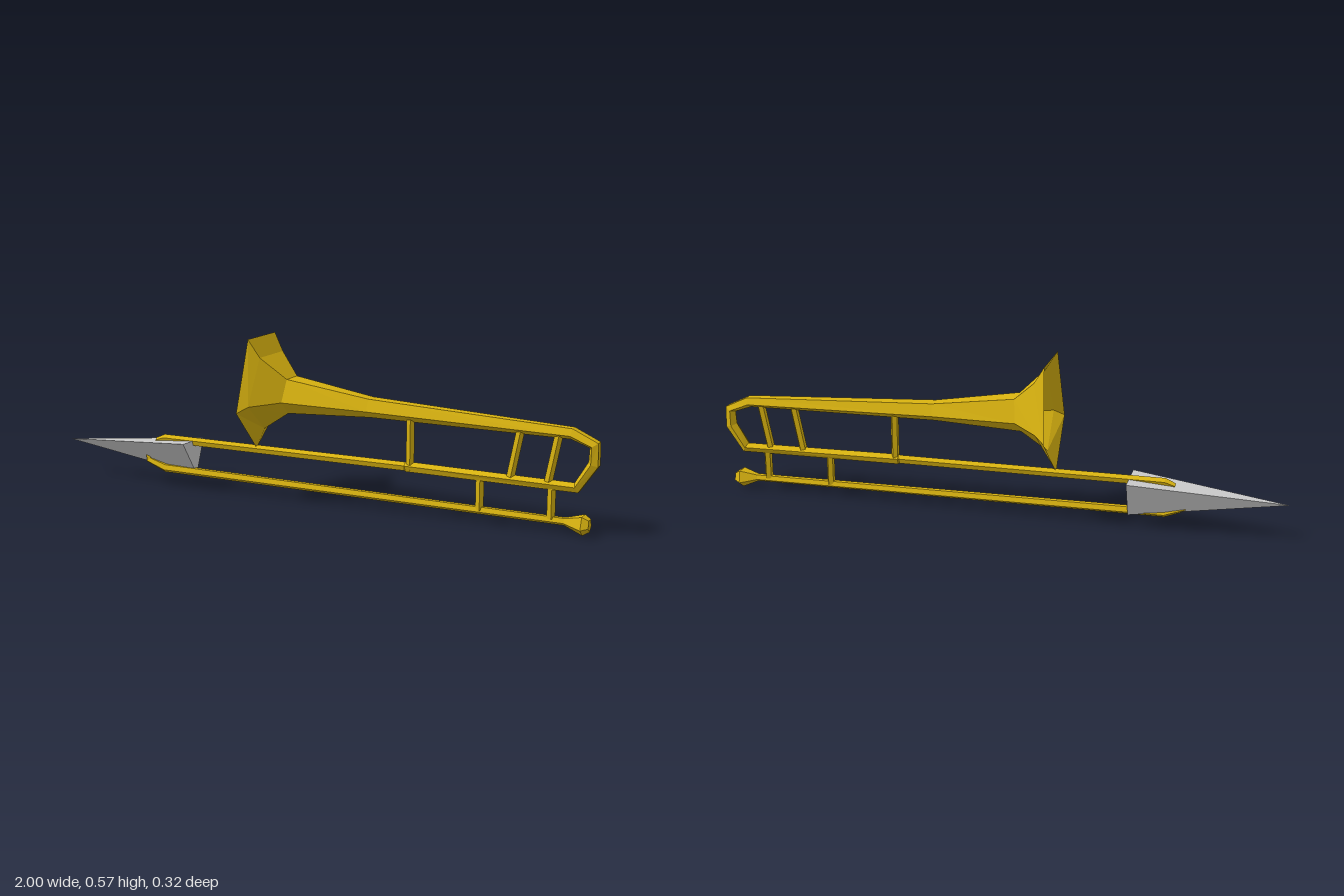
import * as THREE from 'three';

const brass = new THREE.MeshStandardMaterial({ color: 0xd9b310, flatShading: true, side: THREE.DoubleSide });
const grey = new THREE.MeshStandardMaterial({ color: 0xcccccc, flatShading: true, side: THREE.DoubleSide });
const SIDES = 5;

// Sweeps a five-sided section along stations [x, y, radius in plane, radius in z].
function loft(name, stations, capStart = true, capEnd = true) {
  const centres = stations.map(([x, y]) => new THREE.Vector2(x, y));
  const last = stations.length - 1;
  const pos = [], index = [];
  stations.forEach(([x, y, r, rz = r], i) => {
    const before = centres[i].clone().sub(centres[Math.max(i - 1, 0)]).normalize();
    const after = centres[Math.min(i + 1, last)].clone().sub(centres[i]).normalize();
    const t = before.add(after).normalize();
    for (let j = 0; j < SIDES; j++) {
      const a = -Math.PI / 2 + (j / SIDES) * Math.PI * 2;
      const n = Math.sin(a) * r;
      pos.push(x - t.y * n, y + t.x * n, Math.cos(a) * rz);
    }
  });
  for (let i = 0; i < last; i++) {
    for (let j = 0; j < SIDES; j++) {
      const k = (j + 1) % SIDES, p = i * SIDES, q = p + SIDES;
      index.push(p + j, q + j, p + k, p + k, q + j, q + k);
    }
  }
  const e = last * SIDES;
  for (let j = 1; j < SIDES - 1; j++) {
    if (capStart) index.push(0, j, j + 1);
    if (capEnd) index.push(e, e + j + 1, e + j);
  }
  return mesh(name, pos, index, brass);
}

function mesh(name, pos, index, material) {
  let g = new THREE.BufferGeometry();
  g.setAttribute('position', new THREE.Float32BufferAttribute(pos, 3));
  g.setIndex(index);
  g = g.toNonIndexed();
  g.computeVertexNormals();
  const m = new THREE.Mesh(g, material);
  m.name = name;
  return m;
}

export function createModel() {
  const model = new THREE.Group();
  model.name = 'trombone';

  // Open flared bell, long taper, rear bend and upper slide in one sweep
  model.add(loft('bellAndUpperSlide', [
    [-0.2, 0.391, 0.22, 0.17],
    [-0.165, 0.389, 0.146, 0.147],
    [-0.08, 0.375, 0.07, 0.068],
    [0.22, 0.355, 0.037, 0.04],
    [0.91, 0.33, 0.021, 0.026],
    [0.984, 0.298, 0.02, 0.026],
    [0.984, 0.236, 0.02, 0.026],
    [0.932, 0.155, 0.018, 0.025],
    [0.352, 0.163, 0.018, 0.02],
    [0.348, 0.163, 0.0155, 0.015],
    [-0.585, 0.17, 0.0155, 0.015],
    [-0.62, 0.16, 0.01, 0.012],
  ], false, true));

  // Lower slide with the short upturned hook at its far end
  model.add(loft('lowerSlide', [
    [-0.657, 0.108, 0.011, 0.012],
    [-0.655, 0.085, 0.014],
    [-0.585, 0.061, 0.016, 0.015],
    [0.9, 0.041, 0.014],
  ]));

  // Mouthpiece cup
  model.add(loft('mouthpiece', [
    [0.895, 0.041, 0.014],
    [0.955, 0.0365, 0.0365, 0.037],
    [0.977, 0.037, 0.022],
  ]));

  // Braces between the tubes: bottom x, y to top x, y
  const braces = [
    [0.365, 0.155, 0.365, 0.33],
    [0.71, 0.155, 0.742, 0.325],
    [0.835, 0.15, 0.867, 0.32],
    [0.61, 0.045, 0.61, 0.155],
    [0.85, 0.045, 0.85, 0.15],
  ];
  braces.forEach(([x0, y0, x1, y1], i) =>
    model.add(loft('brace' + (i + 1), [[x0, y0, 0.014, 0.016], [x1, y1, 0.014, 0.016]])));

  // Three-sided spear point at the slide end
  model.add(mesh('spearPoint', [
    -1, 0.13, 0,
    -0.465, 0.175, 0.078,
    -0.465, 0.172, -0.066,
    -0.465, 0.045, -0.014,
  ], [0, 1, 2, 0, 2, 3, 0, 3, 1, 1, 3, 2], grey));

  return model;
}
